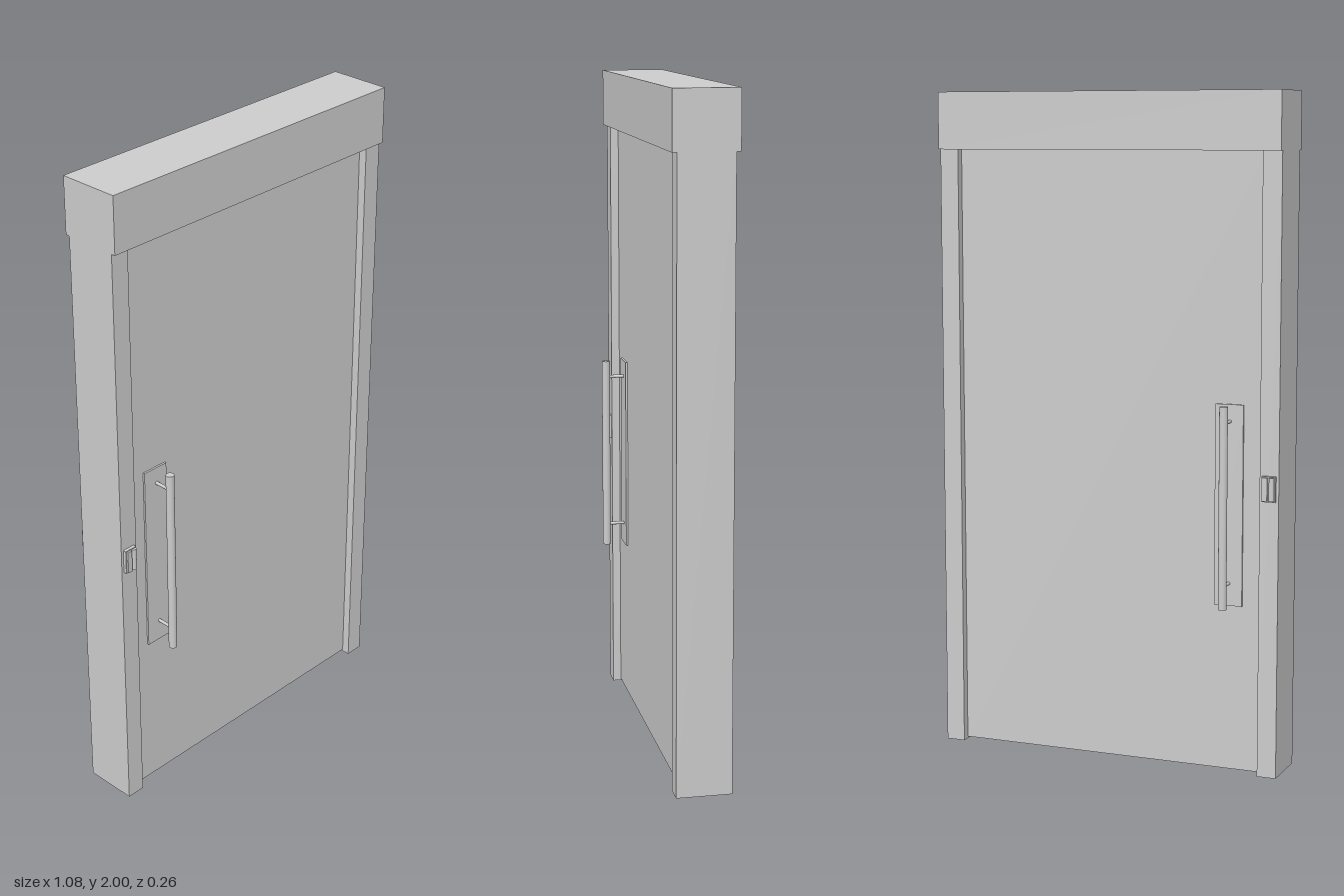
import * as THREE from 'three';

const material = new THREE.MeshStandardMaterial({ color: 0xcccccc });

export function createModel() {
  const model = new THREE.Group();
  model.name = 'slidingDoor';

  const add = (parent, name, geometry) => {
    const mesh = new THREE.Mesh(geometry, material);
    mesh.name = name;
    parent.add(mesh);
    return mesh;
  };
  // box given by its extents along each axis
  const box = (parent, name, [x0, x1], [y0, y1], [z0, z1]) => {
    const mesh = add(parent, name, new THREE.BoxGeometry(x1 - x0, y1 - y0, z1 - z0));
    mesh.position.set((x0 + x1) / 2, (y0 + y1) / 2, (z0 + z1) / 2);
    return mesh;
  };

  const jambZ = 0.082, panelZ = 0.057, panelBottom = 0.006;

  // frame: header over two jambs
  box(model, 'header', [-0.538, 0.538], [1.83, 2], [-0.095, 0.095]);
  box(model, 'rightJamb', [-0.538, -0.48], [0, 1.83], [-jambZ, jambZ]);
  box(model, 'leftJamb', [0.48, 0.538], [0, 1.83], [-jambZ, jambZ]);

  // door leaf, recessed on both faces, with a guide groove along its foot
  const leaf = new THREE.Shape([
    [-panelZ, panelBottom], [-0.035, panelBottom], [-0.035, 0.04], [0.02, 0.04],
    [0.02, panelBottom], [panelZ, panelBottom], [panelZ, 1.83], [-panelZ, 1.83],
  ].map(([z, y]) => new THREE.Vector2(-z, y)));
  const leafGeometry = new THREE.ExtrudeGeometry(leaf, { depth: 0.96, bevelEnabled: false });
  leafGeometry.translate(0, 0, -0.48).rotateY(Math.PI / 2);
  add(model, 'doorLeaf', leafGeometry);

  for (const side of [1, -1]) {
    const face = side > 0 ? 'front' : 'back';
    const span = (a, b) => (side > 0 ? [a, b] : [-b, -a]);

    // pull handle: backplate, bar and two standoffs
    const handle = new THREE.Group();
    handle.name = face + 'Handle';
    model.add(handle);
    const barX = side > 0 ? -0.376 : -0.381;
    const barZ = 0.119;
    box(handle, 'backplate', [-0.422, -0.336], [0.503, 1.1], span(panelZ - 0.002, panelZ + 0.006));
    const bar = add(handle, 'bar', new THREE.CylinderGeometry(0.0125, 0.0125, 0.597, 24));
    bar.position.set(barX, 0.8015, side * barZ);
    for (const y of [0.57, 1.05]) {
      const post = add(handle, 'standoff', new THREE.CylinderGeometry(0.005, 0.005, barZ - panelZ, 16));
      post.rotation.x = Math.PI / 2;
      post.position.set(barX, y, side * (barZ + panelZ) / 2);
    }

    // wall switch on the jamb: base, flat key and rounded key
    const control = new THREE.Group();
    control.name = face + 'Switch';
    model.add(control);
    const flatX = side > 0 ? -0.519 : -0.499;
    const roundX = side > 0 ? -0.499 : -0.519;
    box(control, 'switchBase', [-0.53, -0.489], [0.825, 0.9], span(jambZ - 0.002, 0.092));
    box(control, 'flatKey', [flatX - 0.008, flatX + 0.008], [0.828, 0.897], span(0.09, 0.098));
    const key = add(control, 'roundKey', new THREE.CylinderGeometry(0.008, 0.008, 0.069, 16));
    key.position.set(roundX, 0.8625, side * 0.092);
  }
  return model;
}
